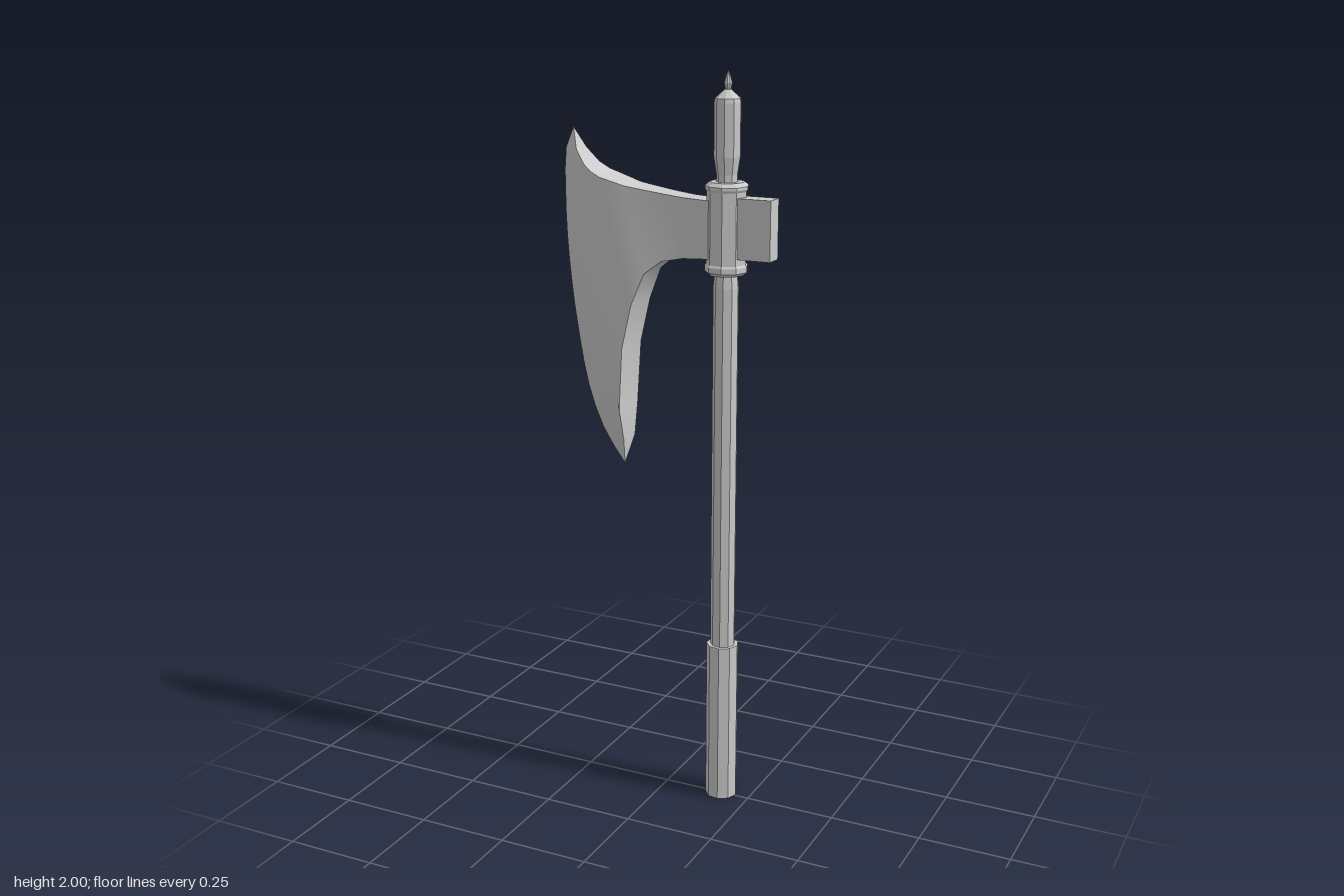
import * as THREE from 'three';
import { toCreasedNormals } from 'three/addons/utils/BufferGeometryUtils.js';

const SIDES = 9;
const flat = new THREE.MeshStandardMaterial({ color: 0xcccccc, flatShading: true });
const smooth = new THREE.MeshStandardMaterial({ color: 0xcccccc });

// Nine-sided turned part on the pole axis, from [radius, height] pairs going up
function turned(name, profile) {
  const points = profile.map(([r, y]) => new THREE.Vector2(r, y));
  const mesh = new THREE.Mesh(new THREE.LatheGeometry(points, SIDES, Math.PI / 2), flat);
  mesh.name = name;
  return mesh;
}

// Cross-sections from the collar to the cutting edge; each runs from the
// upper edge to the lower edge as [x, y, half thickness]
const SECTIONS = [
  [[0.13, 1.675, 0.032], [0.13, 1.6, 0.032], [0.13, 1.525, 0.032]],
  [[0.06, 1.679, 0.035], [0.06, 1.6, 0.035], [0.06, 1.522, 0.035]],
  [[0, 1.686, 0.038], [0, 1.6, 0.038], [0, 1.51, 0.039]],
  [[-0.1, 1.7, 0.048], [-0.075, 1.59, 0.048], [-0.045, 1.475, 0.051]],
  [[-0.17, 1.72, 0.057], [-0.13, 1.57, 0.057], [-0.08, 1.39, 0.057]],
  [[-0.195, 1.73, 0.05], [-0.165, 1.53, 0.052], [-0.108, 1.27, 0.057]],
  [[-0.222, 1.748, 0.042], [-0.21, 1.47, 0.043], [-0.118, 1.1, 0.055]],
  [[-0.252, 1.785, 0.028], [-0.258, 1.62, 0.026], [-0.225, 1.3, 0.027], [-0.116, 1.01, 0.033]],
  [[-0.275, 1.84, 0], [-0.297, 1.79, 0], [-0.302, 1.65, 0], [-0.295, 1.5, 0],
    [-0.27, 1.3, 0], [-0.235, 1.13, 0], [-0.19, 1.02, 0], [-0.13, 0.935, 0]],
];

function bladeGeometry() {
  const steps = 16, ring = 2 * (steps + 1);
  const positions = [], index = [];
  for (const section of SECTIONS) {
    const curve = new THREE.CatmullRomCurve3(section.map((p) => new THREE.Vector3(...p)));
    const pts = curve.getSpacedPoints(steps);
    for (const p of pts) positions.push(p.x, p.y, p.z);
    for (const p of pts.reverse()) positions.push(p.x, p.y, -p.z);
  }
  for (let i = 0; i < SECTIONS.length - 1; i++) {
    for (let j = 0; j < ring; j++) {
      const k = (j + 1) % ring;
      const a = i * ring + j, b = i * ring + k;
      const c = b + ring, d = a + ring;
      index.push(a, d, c, a, c, b);
    }
  }
  const geometry = new THREE.BufferGeometry();
  geometry.setAttribute('position', new THREE.Float32BufferAttribute(positions, 3));
  geometry.setIndex(index);
  return toCreasedNormals(geometry, Math.PI / 5);
}

export function createModel() {
  const model = new THREE.Group();
  model.name = 'battleAxe';

  // Pole with its grip, collar and spiked cap
  const pole = new THREE.Group();
  pole.name = 'pole';
  pole.position.set(0.166, 0, -0.004);
  pole.add(
    turned('grip', [[0, 0], [0.044, 0], [0.044, 0.455], [0, 0.455]]),
    turned('shaft', [[0.034, 0.45], [0.034, 1.45], [0.03, 1.49], [0.028, 1.74]]),
    turned('collar', [[0, 1.483], [0.046, 1.483], [0.057, 1.492], [0.057, 1.506], [0.053, 1.512],
      [0.053, 1.698], [0.057, 1.704], [0.057, 1.712], [0.046, 1.722], [0, 1.722]]),
    turned('poleTop', [[0.028, 1.72], [0.028, 1.74], [0.035, 1.785], [0.035, 1.92],
      [0.033, 1.93], [0.009, 1.952], [0, 1.952]]),
    turned('spike', [[0.007, 1.95], [0.011, 1.968], [0.007, 1.982], [0, 2]]),
  );
  model.add(pole);

  // Bearded blade
  const blade = new THREE.Mesh(bladeGeometry(), smooth);
  blade.name = 'blade';
  model.add(blade);

  // Square hammer end opposite the blade
  const poll = new THREE.Mesh(new THREE.BoxGeometry(0.12, 0.156, 0.052), flat);
  poll.name = 'poll';
  poll.position.set(0.239, 1.607, 0);
  model.add(poll);

  return model;
}
